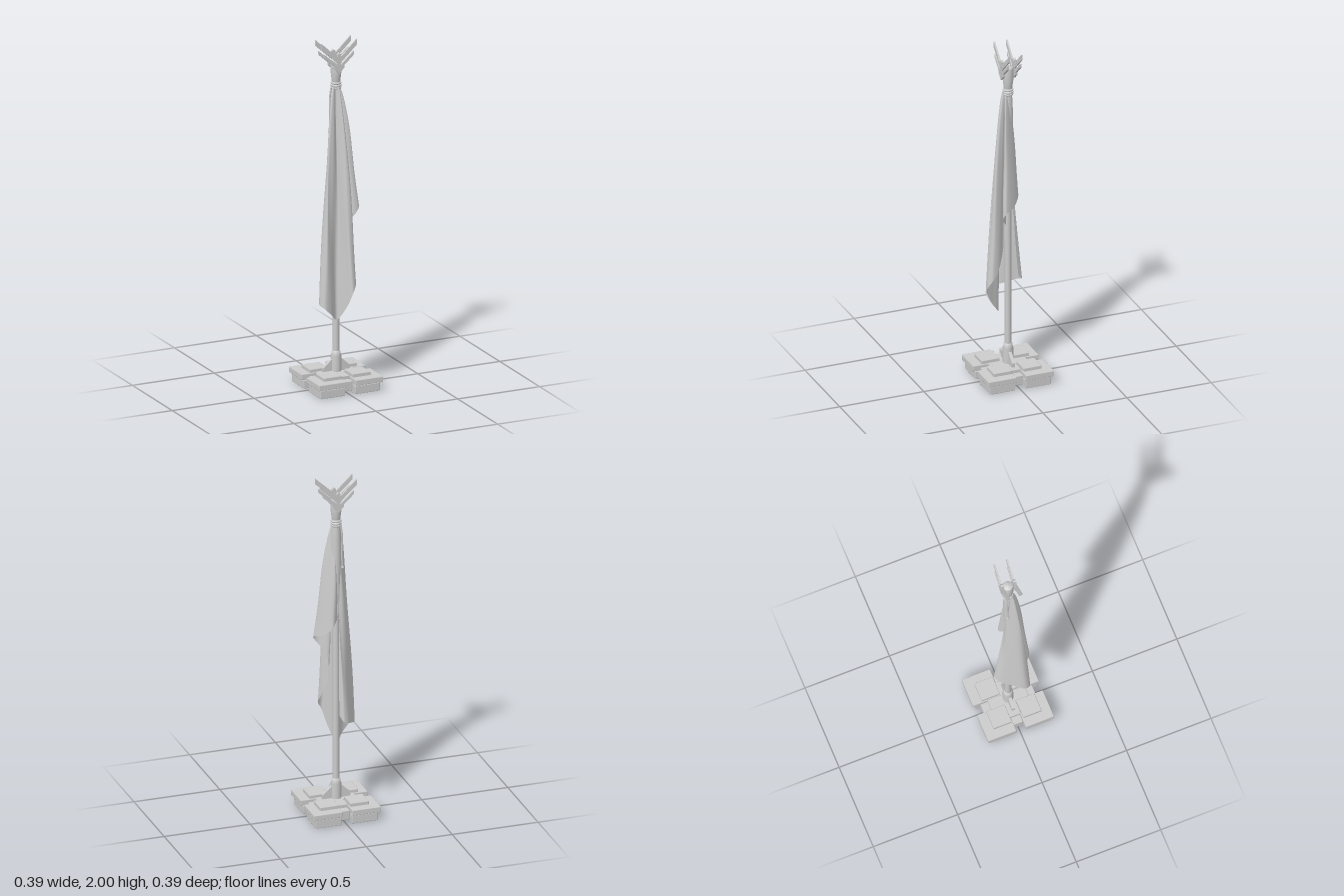
import * as THREE from 'three';
import { RoundedBoxGeometry } from 'three/addons/geometries/RoundedBoxGeometry.js';

const grey = new THREE.MeshStandardMaterial({ color: 0xcccccc });
const cloth = new THREE.MeshStandardMaterial({ color: 0xcccccc, side: THREE.DoubleSide });

function add(parent, name, geometry, x = 0, y = 0, z = 0, material = grey) {
  const mesh = new THREE.Mesh(geometry, material);
  mesh.name = name;
  mesh.position.set(x, y, z);
  parent.add(mesh);
  return mesh;
}

// Box given by its bottom height and top height, with softened edges
function slab(parent, name, w, d, y0, y1, x = 0, z = 0) {
  return add(parent, name, new RoundedBoxGeometry(w, y1 - y0, d, 1, 0.004), x, (y0 + y1) / 2, z);
}

// Flat outline in the xy plane, extruded in z and centred on it
function plate(parent, name, points, depth, z = 0) {
  const shape = new THREE.Shape(points.map(([x, y]) => new THREE.Vector2(x, y)));
  const geometry = new THREE.ExtrudeGeometry(shape, { depth, bevelEnabled: false });
  return add(parent, name, geometry, 0, 0, z - depth / 2);
}

function makeBase() {
  const base = new THREE.Group();
  base.name = 'base';
  for (const sx of [-1, 1]) {
    for (const sz of [-1, 1]) {
      slab(base, 'footWeight', 0.15, 0.15, 0, 0.048, sx * 0.106, sz * 0.106);
      slab(base, 'weightCover', 0.167, 0.167, 0.052, 0.085, sx * 0.1115, sz * 0.1115);
      slab(base, 'weightCap', 0.108, 0.108, 0.08, 0.105, sx * 0.088, sz * 0.088);
    }
  }
  // crossed beams in two tiers
  slab(base, 'crossBeamX', 0.306, 0.056, 0.015, 0.07);
  slab(base, 'crossBeamZ', 0.056, 0.306, 0.015, 0.07);
  slab(base, 'upperBeamX', 0.22, 0.066, 0.06, 0.09);
  slab(base, 'upperBeamZ', 0.06, 0.22, 0.06, 0.09);
  // triangular brace on both sides of the socket
  plate(base, 'gusset', [[-0.08, 0.085], [0.08, 0.085], [0.08, 0.115], [0.025, 0.165],
    [-0.025, 0.165], [-0.08, 0.115]], 0.018);
  return base;
}

function makePole() {
  const pole = new THREE.Group();
  pole.name = 'pole';
  const lathe = (name, pts) => add(pole, name,
    new THREE.LatheGeometry(pts.map(([r, y]) => new THREE.Vector2(r, y)), 28));
  add(pole, 'shaft', new THREE.CylinderGeometry(0.018, 0.018, 1.7, 24), 0, 0.93, 0);
  lathe('socket', [[0.029, 0.08], [0.029, 0.18], [0.026, 0.186], [0.026, 0.2], [0.018, 0.207]]);
  lathe('headSleeve', [[0.018, 1.75], [0.024, 1.765], [0.03, 1.815], [0.03, 1.878],
    [0.025, 1.888], [0, 1.893]]);
  for (const [r, y] of [[0.023, 1.725], [0.024, 1.738], [0.023, 1.752], [0.018, 1.168], [0.018, 1.182]]) {
    add(pole, 'bindingRing', new THREE.TorusGeometry(r, 0.007, 8, 24), 0, y, 0).rotation.x = Math.PI / 2;
  }
  // loose cord end hanging behind the upper shaft
  const cord = new THREE.CatmullRomCurve3([[-0.02, 1.74, -0.012], [-0.03, 1.66, -0.016],
    [-0.029, 1.56, -0.014], [-0.033, 1.47, -0.014]].map(p => new THREE.Vector3(...p)));
  add(pole, 'cord', new THREE.TubeGeometry(cord, 16, 0.005, 6));
  add(pole, 'cordEnd', new THREE.SphereGeometry(0.009, 10, 8), -0.033, 1.47, -0.014);
  return pole;
}

function makeFinial() {
  const finial = new THREE.Group();
  finial.name = 'finial';
  for (const side of [-1, 1]) {
    const z = side * 0.037;
    // long upper chevron and shorter lower chevron
    plate(finial, 'upperChevron', [[0, 1.868], [0.107, 1.967], [0.107, 2], [0, 1.9],
      [-0.107, 2], [-0.107, 1.967]], 0.009, z);
    plate(finial, 'lowerChevron', [[0, 1.815], [0.03, 1.845], [0.03, 1.86], [0.09, 1.915], [0.09, 1.936],
      [0, 1.855], [-0.09, 1.936], [-0.09, 1.915], [-0.03, 1.86], [-0.03, 1.845]], 0.013, z);
    plate(finial, 'innerChevron', [[0, 1.885], [0.05, 1.925], [0.05, 1.94], [0, 1.905],
      [-0.05, 1.94], [-0.05, 1.925]], 0.012, z);
    plate(finial, 'centreSpike', [[-0.01, 1.83], [0.01, 1.83], [0.01, 1.925], [0, 1.935],
      [-0.01, 1.925]], 0.016, z);
    add(finial, 'bracket', new THREE.BoxGeometry(0.026, 0.04, 0.016), 0, 1.85, side * 0.03);
  }
  return finial;
}

function makeFlag() {
  const flag = new THREE.Group();
  flag.name = 'flag';
  // hem of the hanging cloth, from the hoist round to the fly end
  const hem = new THREE.CatmullRomCurve3([
    [0, 1.17, -0.024], [0.035, 1.125, -0.046], [0.08, 1.07, -0.005], [0.112, 1.045, 0.058],
    [0.085, 1.0, 0.066], [0.045, 0.94, 0.03], [0.03, 0.8, 0.04], [0.058, 0.67, 0.085],
    [0.063, 0.62, 0.122], [0.035, 0.565, 0.14], [0.01, 0.47, 0.1], [-0.02, 0.4, 0.05],
    [-0.07, 0.445, 0.08], [-0.112, 0.485, 0.086], [-0.127, 0.5, 0.055], [-0.09, 0.53, -0.012],
    [-0.05, 0.56, -0.076], [-0.015, 0.575, -0.09], [0, 0.6, -0.062],
  ].map(p => new THREE.Vector3(...p)), false, 'centripetal');

  const nu = 120, nv = 48;
  const geometry = new THREE.PlaneGeometry(1, 1, nu, nv);
  const pos = geometry.attributes.position;
  for (let j = 0; j <= nv; j++) {
    for (let i = 0; i <= nu; i++) {
      const u = i / nu, s = j / nv;
      const p = hem.getPoint(u);
      // folds open quickly below the binding, the fly end only near the hem
      const late = THREE.MathUtils.smoothstep(u, 0.78, 0.95);
      const open = 0.18 + 0.82 * Math.pow(s, 0.7 + late * 1.1);
      const sway = 0.004 * Math.sin(s * Math.PI) * Math.sin(u * 40 + s * 5);
      pos.setXYZ(j * (nu + 1) + i, p.x * open + sway - 0.006 * (1 - s),
        THREE.MathUtils.lerp(1.735, p.y, s), p.z * open + sway + 0.006 * (1 - s));
    }
  }
  geometry.computeVertexNormals();
  add(flag, 'drapedCloth', geometry, 0, 0, 0, cloth);

  // hem sleeve wrapped round the pole
  const sleeve = [[0.021, 1.17], [0.027, 1.21], [0.025, 1.35], [0.028, 1.5], [0.026, 1.65], [0.021, 1.735]];
  add(flag, 'poleSleeve', new THREE.LatheGeometry(
    new THREE.SplineCurve(sleeve.map(p => new THREE.Vector2(...p))).getPoints(24), 24), 0, 0, 0, cloth);
  return flag;
}

export function createModel() {
  const model = new THREE.Group();
  model.name = 'flagStand';
  model.add(makeBase(), makePole(), makeFinial(), makeFlag());
  return model;
}
